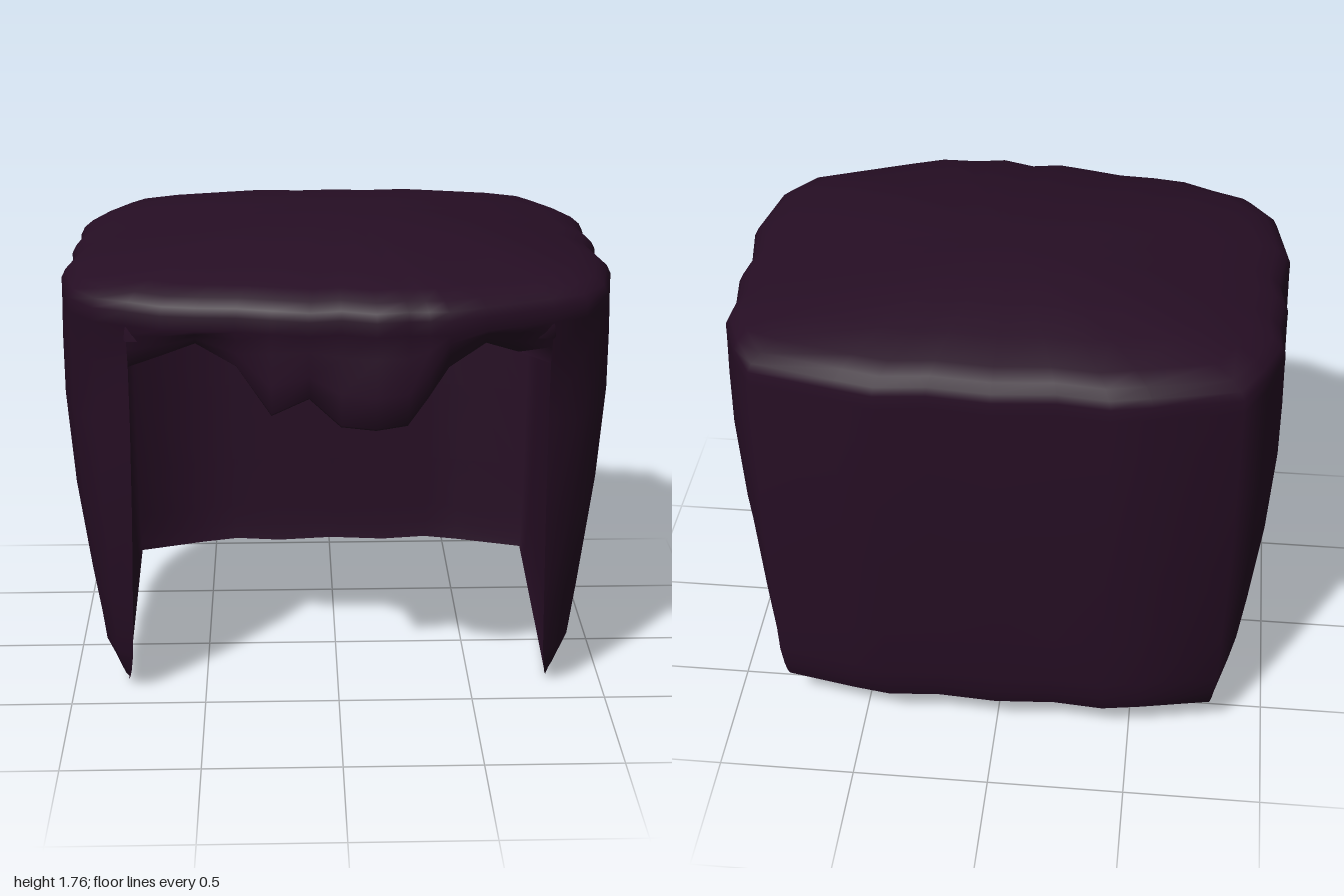
import * as THREE from 'three';
import { mergeGeometries, mergeVertices } from 'three/addons/utils/BufferGeometryUtils.js';

const lerp = THREE.MathUtils.lerp;
const TOP = 1.52;

// Outline of the side and back walls at full width, front edge to back centre: [x, z]
const OUTLINE = [[0.74, 0.57], [0.86, 0.52], [0.95, 0.4], [1, 0.2], [0.97, 0], [0.99, -0.13],
  [0.97, -0.28], [0.98, -0.41], [0.92, -0.56], [0.84, -0.7], [0.54, -0.77], [0.4, -0.8],
  [0.22, -0.78], [0, -0.8]];

// Height fraction and how far the wall has swelled from the bottom rim
const SWELL = [[0, 0], [0.02, 0.15], [0.05, 0.3], [0.11, 0.5], [0.26, 0.66], [0.5, 0.88],
  [0.74, 1], [0.89, 1], [1, 0.98]];

// Fringe columns, right to left: [x, hem height, z at the top]
const FRINGE = [[-0.74, 1.35, 0.63], [-0.62, 1.41, 0.69], [-0.5, 1.46, 0.71], [-0.36, 1.38, 0.72],
  [-0.24, 1.21, 0.75], [-0.11, 1.28, 0.78], [0, 1.17, 0.76], [0.12, 1.17, 0.8], [0.23, 1.18, 0.78],
  [0.3, 1.28, 0.78], [0.37, 1.39, 0.78], [0.5, 1.46, 0.73], [0.62, 1.41, 0.68], [0.74, 1.35, 0.63]];

// Crown rows: [scale of the ring, height]
const CROWN = [[1, 1.52], [1, 1.57], [0.985, 1.6], [0.95, 1.63], [0.88, 1.658], [0.72, 1.697],
  [0.5, 1.735], [0.25, 1.758], [0, 1.765]];

// Surface through rows of points
function loft(rows) {
  const n = rows[0].length, index = [];
  for (let i = 0; i < rows.length - 1; i++) {
    for (let j = 0; j < n - 1; j++) {
      const a = i * n + j, c = a + n;
      index.push(a, a + 1, c + 1, a, c + 1, c);
    }
  }
  const geo = new THREE.BufferGeometry();
  geo.setAttribute('position', new THREE.Float32BufferAttribute(rows.flat(2), 3));
  geo.setIndex(index);
  return geo;
}

function smooth(parts) {
  const geo = mergeVertices(mergeGeometries(parts), 1e-3);
  geo.computeVertexNormals();
  return geo;
}

// Mirror half a row across x, sharing the back centre point
const mirrorRow = (half) => [...half, ...half.slice(0, -1).reverse().map(([x, y, z]) => [-x, y, z])];

// Walls: the rim tucks in and slopes up towards the back
function wallRows(amount) {
  return SWELL.map(([t, b]) => mirrorRow(OUTLINE.map(([x, z], j) => {
    const rx = j < 10 ? 0.8 : x, rz = z > 0 ? z * 0.53 : z * 0.9;
    const ry = 0.043 - 0.142 * rz;
    const k = j === 0 ? b : b * amount;
    const lean = z > 0.3 && t === 1 ? 0.065 : 0;
    return [j === 0 && t === 1 ? 0.74 : lerp(rx, x, k), lerp(ry, TOP, t),
      j === 0 && t === 1 ? 0.63 : lerp(rz, z, k) + lean];
  })));
}

// Fringe: inner face down to the hem, then the front face up to the crown
function fringeRows() {
  const make = (f) => FRINGE.map(([x, hem, z]) => {
    const long = THREE.MathUtils.clamp((1.46 - hem) / 0.29, 0, 1) * (Math.abs(x) < 0.45 ? 1 : 0);
    return f(x, hem, z, long, z - 0.06 + 0.05 * long);
  });
  return [
    make((x, hem, z) => [x, 1.5, Math.min(0.62, z - 0.06)]),
    make((x, hem, z, l, hz) => [x, hem + 0.02 * l, hz - 0.11 * l]),
    make((x, hem, z, l, hz) => [x, hem, hz - 0.04 * l]),
    make((x, hem, z, l, hz) => [x, hem + 0.02 * l, hz]),
    make((x, hem, z, l, hz) => [x, lerp(hem, TOP, 0.4), lerp(hz, z, 0.4) + 0.025 * l]),
    make((x, hem, z, l, hz) => [x, lerp(hem, TOP, 0.75), lerp(hz, z, 0.75) - 0.01 * l]),
    make((x, hem, z) => [x, TOP, z]),
  ];
}

// Domed top closing a ring of points
function crownRows(ring, drop) {
  return CROWN.map(([s, y]) => ring.map(([x, , z]) => [x * s, y - drop, lerp(-0.06, z, s)]));
}

export function createModel() {
  const hair = new THREE.MeshStandardMaterial({ color: 0x260e24, side: THREE.DoubleSide });
  hair.name = 'darkPlum';
  const group = new THREE.Group();
  group.name = 'hair';

  const add = (name, geometry) => {
    const mesh = new THREE.Mesh(geometry, hair);
    mesh.name = name;
    group.add(mesh);
  };

  // Outer hair: walls, fringe and crown welded into one smooth surface
  const walls = wallRows(1), fringe = fringeRows();
  const ring = [...walls.at(-1), ...fringe.at(-1).slice(1)];
  add('outerHair', smooth([loft(walls), loft(fringe), loft(crownRows(ring, 0))]));

  // Inner lining: straighter walls and a ceiling under the crown
  const lining = wallRows(0.3);
  const innerRing = [...lining.at(-1), ...fringe[0].slice(1, -1), lining.at(-1)[0]];
  add('innerLining', smooth([loft(lining)]));
  add('innerCeiling', smooth([loft(crownRows(innerRing, 0.06))]));

  return group;
}
